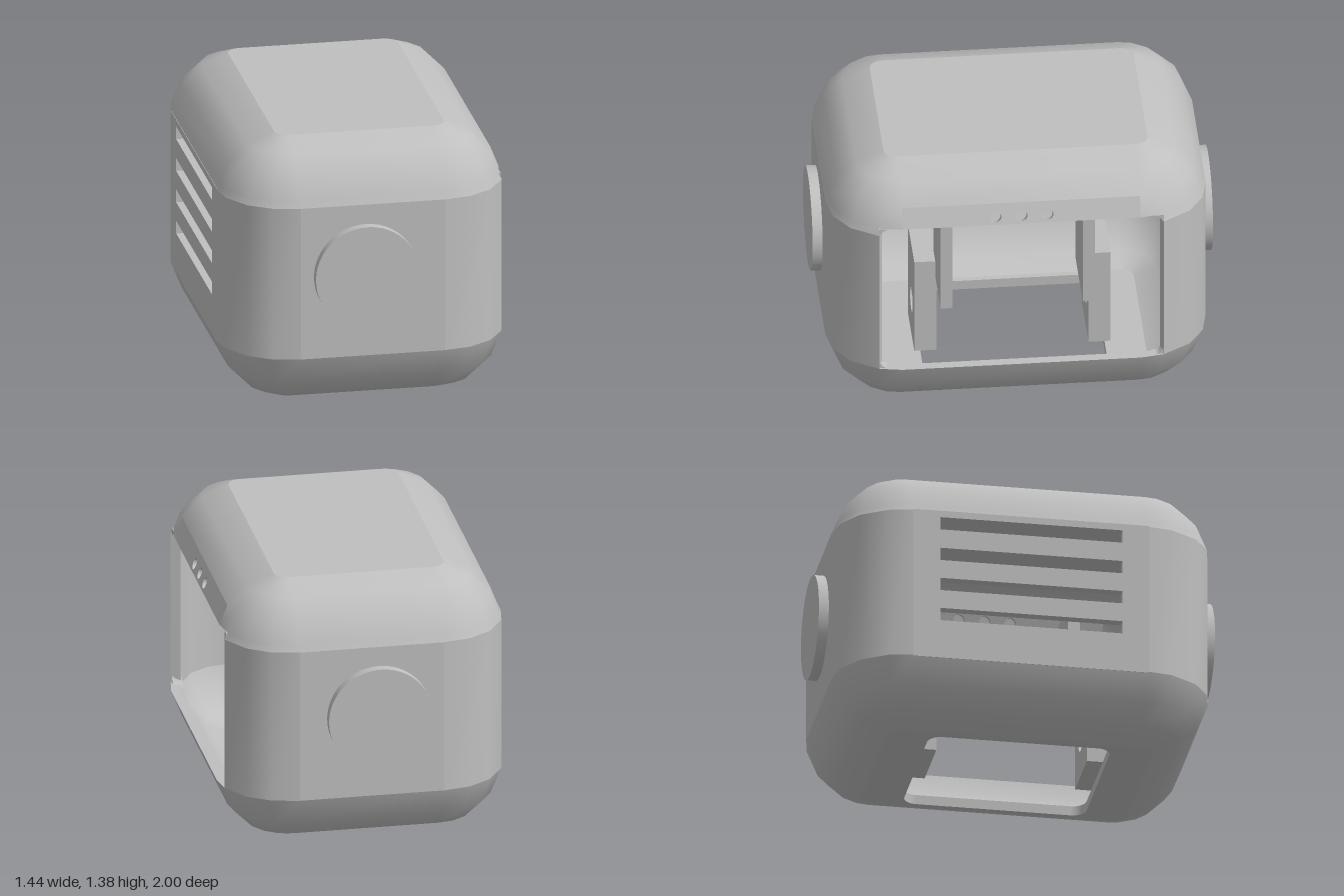
import * as THREE from 'three';
import { mergeGeometries, toCreasedNormals } from 'three/addons/utils/BufferGeometryUtils.js';

const H = 1.375, HX = 0.72, HZ = 0.95, EDGE = 0.29, CORNER = 0.355, WALL = 0.05;
const V = (x, y, z) => new THREE.Vector3(x, y, z);

// Edge rounding as fractions [inset, height], bottom to top
const LEVELS = [[1, 0], [0.53, 0.19], [0.19, 0.53], [0, 1],
  [0, 1], [0.05, 0.88], [0.19, 0.53], [0.53, 0.19], [1, 0]];
const ANGLES = [0, 19, 45, 67.5, 90];

// Rounded-rectangle rings of the shell, offset inwards by t
function rings(t) {
  const R = EDGE - t;
  return LEVELS.map(([f, h], j) => {
    const inset = t + R * f, r = CORNER - inset;
    const y = j < 4 ? t + R * h : H - t - R * h;
    const ring = [];
    [[1, 1], [-1, 1], [-1, -1], [1, -1]].forEach(([sx, sz], q) => {
      const list = q % 2 ? [...ANGLES].reverse() : ANGLES;
      for (const deg of list) {
        const a = deg * Math.PI / 180;
        ring.push(V(sx * (HX - CORNER + r * Math.cos(a)), y, sz * (HZ - CORNER + r * Math.sin(a))));
      }
    });
    return ring;
  });
}

function trianglesToGeometry(points) {
  const g = new THREE.BufferGeometry().setFromPoints(points);
  return toCreasedNormals(g, 0.7);
}

function pushQuad(list, a, b, c, e, flip) {
  list.push(...(flip ? [a, b, c, b, e, c] : [a, c, b, b, c, e]));
}

// Shell skin, leaving out the side opening, the vent strip and the slotted wall
function skin(rows, flip) {
  const parts = { flat: [], corner: [], low: [], high: [] };
  for (let j = 0; j < 8; j++) {
    for (let i = 0; i < 20; i++) {
      const opening = (j === 3 || j === 4) && (i >= 18 || i === 0);
      if (opening || (j === 5 && i === 19) || (j === 3 && i === 9)) continue;
      const k = (i + 1) % 20;
      const key = j < 3 ? 'low' : j > 3 ? 'high' : i % 5 === 4 ? 'flat' : 'corner';
      pushQuad(parts[key], rows[j][i], rows[j][k], rows[j + 1][i], rows[j + 1][k], flip);
    }
  }
  return Object.values(parts).map(trianglesToGeometry);
}

function roundedRect(path, x0, y0, x1, y1, r) {
  path.moveTo(x0 + r, y0);
  path.lineTo(x1 - r, y0);
  path.absarc(x1 - r, y0 + r, r, -Math.PI / 2, 0);
  path.lineTo(x1, y1 - r);
  path.absarc(x1 - r, y1 - r, r, 0, Math.PI / 2);
  path.lineTo(x0 + r, y1);
  path.absarc(x0 + r, y1 - r, r, Math.PI / 2, Math.PI);
  path.lineTo(x0, y0 + r);
  path.absarc(x0 + r, y0 + r, r, Math.PI, Math.PI * 1.5);
  return path;
}

function rectShape(x0, y0, x1, y1) {
  return new THREE.Shape([[x0, y0], [x1, y0], [x1, y1], [x0, y1]].map(p => new THREE.Vector2(...p)));
}

function circleHole(x, y, r) {
  return new THREE.Path().absarc(x, y, r, 0, Math.PI * 2);
}

// Extruded plate laid out along axes u and v
function panel(shape, depth, origin, u, v) {
  const g = new THREE.ExtrudeGeometry(shape, { depth, bevelEnabled: false, curveSegments: 10 });
  const m = new THREE.Matrix4().makeBasis(u, v, u.clone().cross(v)).setPosition(origin);
  return g.applyMatrix4(m);
}

function createModel() {
  const group = new THREE.Group();
  const grey = new THREE.MeshStandardMaterial({ color: 0xbfbfbf });
  grey.name = 'light grey';
  const add = (name, geometry) => {
    const mesh = new THREE.Mesh(geometry, grey);
    mesh.name = name;
    group.add(mesh);
    return mesh;
  };
  const outer = rings(0), inner = rings(WALL);
  const X = V(1, 0, 0), Y = V(0, 1, 0), Z = V(0, 0, 1), back = V(0, 0, -1);

  add('outerShell', mergeGeometries(skin(outer, false)));
  add('innerShell', mergeGeometries(skin(inner, true)));

  // Rim of the side opening
  const rim = [];
  const path = [[3, 18], [3, 19], [3, 0], [3, 1], [4, 1], [5, 1], [5, 0], [5, 19], [5, 18], [4, 18]];
  path.forEach(([j, i], n) => {
    const [j2, i2] = path[(n + 1) % path.length];
    pushQuad(rim, outer[j][i], outer[j2][i2], inner[j][i], inner[j2][i2], false);
  });
  add('openingRim', trianglesToGeometry(rim));

  // Rounded corners of the side opening
  for (const sz of [-1, 1]) {
    for (const [y, sy] of [[0.285, 1], [1.12, -1]]) {
      const r = 0.06, z = 0.712 * sz;
      const pts = [new THREE.Vector2(z, y)];
      for (let k = 0; k <= 5; k++) {
        const a = k / 5 * Math.PI / 2;
        pts.push(new THREE.Vector2(z - sz * r * (1 - Math.sin(a)), y + sy * r * (1 - Math.cos(a))));
      }
      const mirrored = pts.map(p => new THREE.Vector2(-p.x, p.y));
      add('openingCorner', panel(new THREE.Shape(mirrored), 0.05, V(0.645, 0, 0), back, Y));
    }
  }

  // Roof and floor, the floor with a rounded cut-out
  const flatOutline = outer[0].map(p => new THREE.Vector2(p.x, p.z));
  add('roof', panel(new THREE.Shape(flatOutline), WALL, V(0, H, 0), X, V(0, 0, -1).negate())
    .translate(0, 0, 0));
  const floor = new THREE.Shape(flatOutline);
  floor.holes.push(roundedRect(new THREE.Path(), -0.4, -0.46, 0.4, 0.46, 0.07));
  add('floor', panel(floor, WALL, V(0, WALL, 0), X, Z));

  // Slotted side wall
  const slotted = rectShape(-0.595, 0.285, 0.595, 1.09);
  for (const y of [0.49, 0.655, 0.82, 0.988]) {
    slotted.holes.push(rectShape(-0.46, y, 0.46, y + 0.067));
  }
  add('slottedWall', panel(slotted, WALL, V(-HX + WALL, 0, 0), Z, Y));

  // Sloped strip with three round vents above the opening
  const low = outer[5][0], high = outer[6][0];
  const slope = V(high.x - low.x, high.y - low.y, 0);
  const length = slope.length();
  slope.normalize();
  const strip = rectShape(-0.595, 0, 0.595, length);
  for (const z of [-0.13, 0, 0.13]) strip.holes.push(circleHole(z, 0.042, 0.03));
  const normal = back.clone().cross(slope);
  add('ventStrip', panel(strip, 0.045, V(low.x, low.y, 0).addScaledVector(normal, -0.045), back, slope));

  // Mirrored end discs, inner plates and drilled brackets
  for (const s of [1, -1]) {
    const disc = new THREE.CylinderGeometry(0.263, 0.263, 0.08, 48).rotateX(Math.PI / 2);
    add(s > 0 ? 'frontDisc' : 'backDisc', disc).position.set(-0.035, 0.72, s * 0.96);

    const plate = new THREE.BoxGeometry(0.4, 0.53, 0.06);
    add('innerPlate', plate).position.set(0.29, 0.755, s * 0.355);

    const bracket = rectShape(-0.14, 0.05, 0.2, 0.58);
    bracket.holes.push(circleHole(0.04, 0.26, 0.07));
    add('bracket', panel(bracket, 0.11, V(0, 0, s > 0 ? 0.38 : -0.49), X, Y));
  }
  return group;
}

export { createModel };
